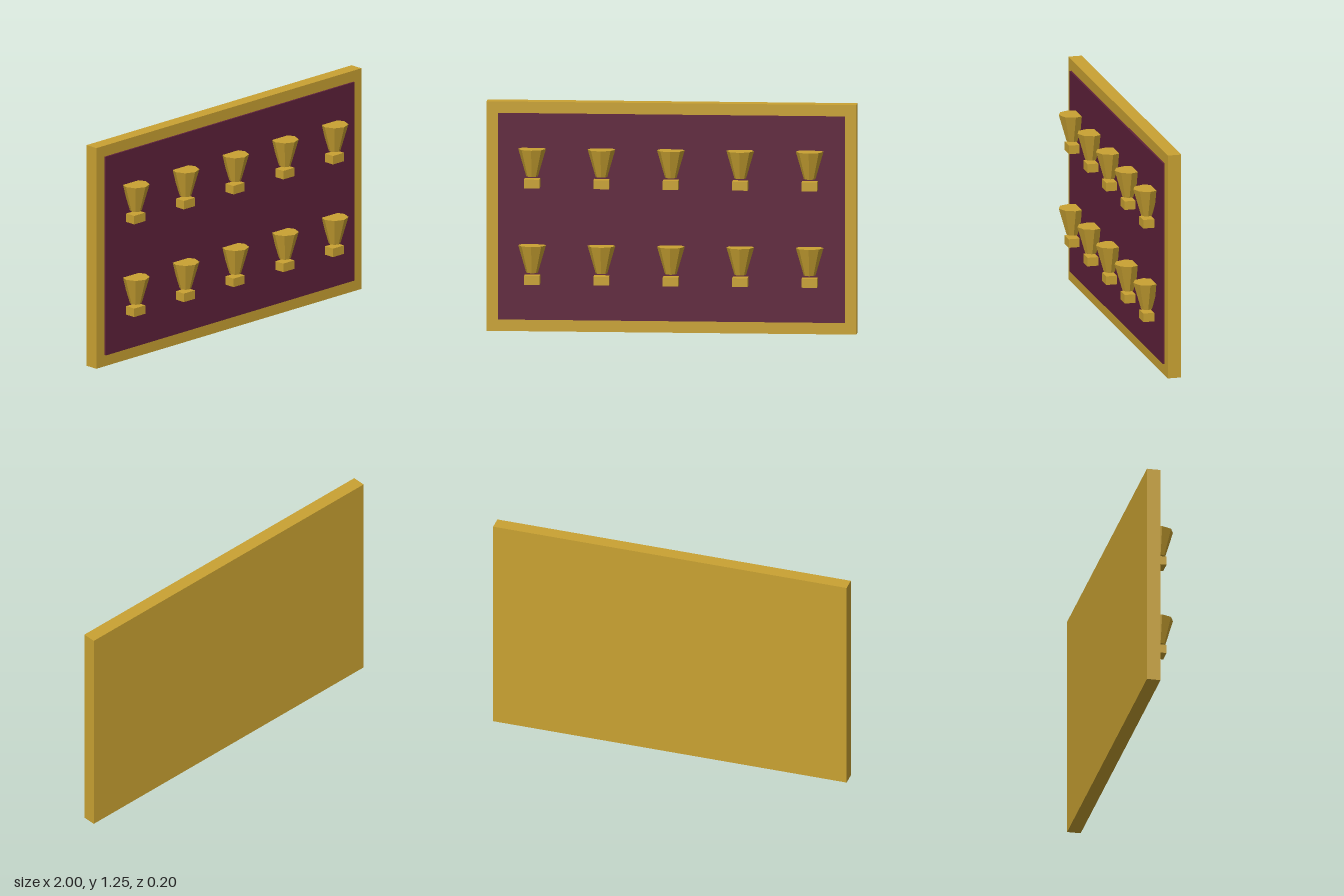
import * as THREE from 'three';

export function createModel() {
  const group = new THREE.Group();
  const gold = new THREE.MeshStandardMaterial({ color: 0xc9a232, flatShading: true });
  const maroon = new THREE.MeshStandardMaterial({ color: 0x5f213a, flatShading: true });

  const add = (parent, name, geometry, material, x, y, z) => {
    const mesh = new THREE.Mesh(geometry, material);
    mesh.name = name;
    mesh.position.set(x, y, z);
    parent.add(mesh);
  };

  // Backing board and the thin cloth panel on its front
  add(group, 'board', new THREE.BoxGeometry(2, 1.25, 0.075), gold, 0, 0.625, -0.0605);
  add(group, 'clothPanel', new THREE.BoxGeometry(1.876, 1.124, 0.0125), maroon, 0, 0.626, -0.0185);

  // Two rows of five trophies: a faceted cup floating just above a small plinth
  const cup = new THREE.CylinderGeometry(0.075, 0.0315, 0.149, 8);
  const plinth = new THREE.BoxGeometry(0.084, 0.048, 0.061);
  for (const y of [0.264, 0.789]) {
    for (let i = -2; i <= 2; i++) {
      const trophy = new THREE.Group();
      trophy.name = 'trophy';
      trophy.position.set(i * 0.375, y, 0.0255);
      add(trophy, 'plinth', plinth, gold, 0, 0.024, 0);
      add(trophy, 'cup', cup, gold, 0, 0.1375, 0);
      group.add(trophy);
    }
  }
  return group;
}
